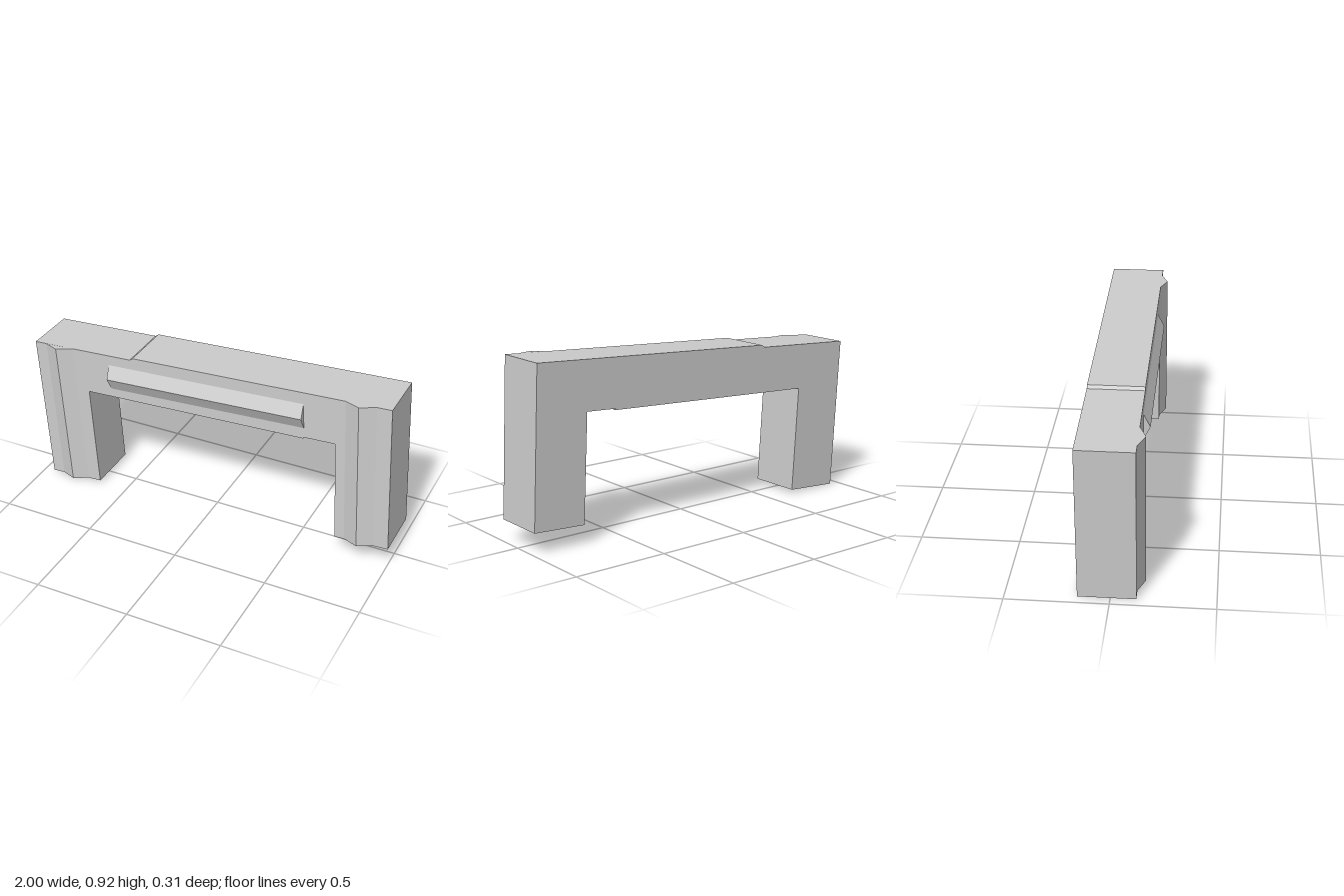
import * as THREE from 'three';

const BACK = -0.157, FRONT = 0.123, PEAK = 0.157;
const material = new THREE.MeshStandardMaterial({ color: 0xcccccc, flatShading: true });

// Triangular ridge on the front face: each end is [edge, crest, edge] as [x, y] points,
// listed counter-clockwise around the ridge when seen from the front.
function ridge(name, endA, endB) {
  const to3 = (end) => end.map(([x, y], i) => [x, y, i === 1 ? PEAK : FRONT]);
  const [a0, a1, a2] = to3(endA);
  const [b0, b1, b2] = to3(endB);
  const faces = [
    a0, a1, b1, a0, b1, b0, // first slope
    a1, a2, b2, a1, b2, b1, // second slope
    a0, a2, a1, b0, b1, b2, // end caps
  ];
  const geometry = new THREE.BufferGeometry();
  geometry.setAttribute('position', new THREE.Float32BufferAttribute(faces.flat(), 3));
  geometry.computeVertexNormals();
  const mesh = new THREE.Mesh(geometry, material);
  mesh.name = name;
  return mesh;
}

export function createModel() {
  const group = new THREE.Group();
  group.name = 'leaningGateway';

  // Tilted posts and lintel in one outline, with a small step above and below
  const outline = [
    [-0.95, 0], [-0.655, 0.019], [-0.69, 0.582], [0.525, 0.639], [0.525, 0.646],
    [0.69, 0.655], [0.717, 0.099], [1, 0.114], [0.962, 0.922],
    [-0.42, 0.849], [-0.437, 0.836], [-1, 0.806],
  ].map(([x, y]) => new THREE.Vector2(x, y));
  const frameGeometry = new THREE.ExtrudeGeometry(new THREE.Shape(outline), {
    depth: FRONT - BACK, bevelEnabled: false,
  });
  frameGeometry.translate(0, 0, BACK);
  const frame = new THREE.Mesh(frameGeometry, material);
  frame.name = 'frame';
  group.add(frame);

  // Upright ridge on each post, cut flush with the post ends
  group.add(ridge('rightPostRidge',
    [[-0.885, 0.004], [-0.807, 0.009], [-0.73, 0.014]],
    [[-0.935, 0.809], [-0.857, 0.813], [-0.775, 0.818]]));
  group.add(ridge('leftPostRidge',
    [[0.767, 0.102], [0.845, 0.106], [0.923, 0.11]],
    [[0.73, 0.91], [0.808, 0.914], [0.886, 0.918]]));

  // Long horizontal ridge across the lintel
  group.add(ridge('lintelRidge',
    [[-0.562, 0.775], [-0.558, 0.706], [-0.553, 0.637]],
    [[0.518, 0.835], [0.521, 0.766], [0.525, 0.7]]));

  return group;
}
